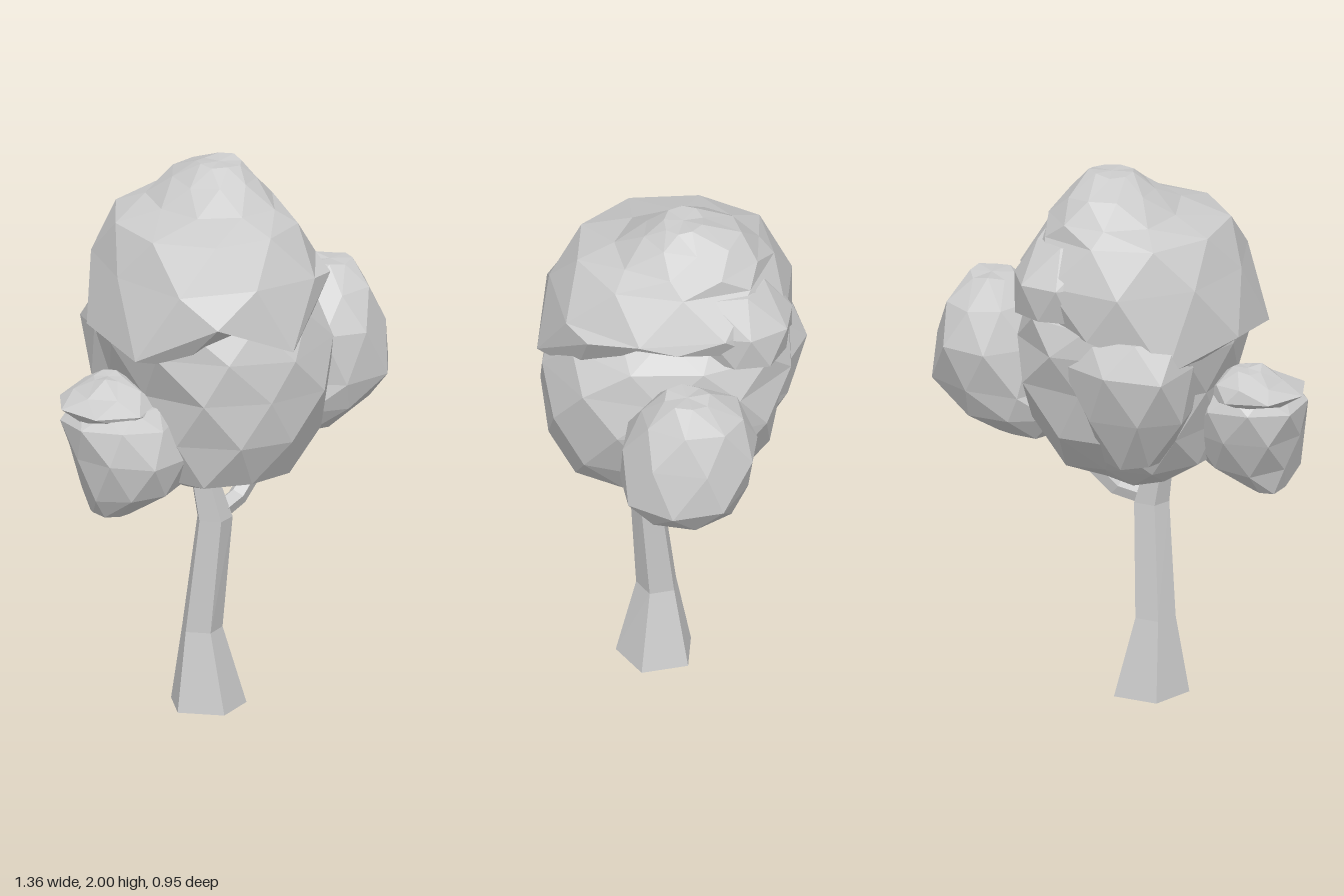
import * as THREE from 'three';

const material = new THREE.MeshStandardMaterial({ color: 0xcccccc, flatShading: true });

function seeded(seed) {
  return () => {
    seed = (seed * 16807) % 2147483647;
    return seed / 2147483647 - 0.5;
  };
}

// Closed loft through rings [y, xMin, xMax, zMin, zMax, heights], bottom to top.
// heights optionally offsets each corner of a ring; box swells the diagonals.
// Staggered rings give irregular triangular facets.
function loft(name, rings, { sides = 8, jitter = 0, stagger = true, seed = 1, turn = 0, box = 0 } = {}) {
  const rand = seeded(seed * 7919);
  const points = rings.map(([y, x0, x1, z0, z1, heights], k) => {
    const cx = (x0 + x1) / 2, cz = (z0 + z1) / 2;
    return Array.from({ length: sides }, (_, i) => {
      const a = ((i + (stagger && k % 2 ? 0.5 : 0)) / sides) * Math.PI * 2 + turn;
      const r = 1.02 + rand() * jitter + box * Math.sin(2 * a) ** 2;
      const lift = (heights ? heights[i] : 0) + rand() * jitter * 0.4;
      return new THREE.Vector3(
        cx + Math.cos(a) * r * (x1 - x0) / 2, y + lift, cz + Math.sin(a) * r * (z1 - z0) / 2);
    });
  });
  const middle = (ring) =>
    ring.reduce((sum, p) => sum.add(p), new THREE.Vector3()).divideScalar(sides);
  const tris = [];
  const bottom = points[0], top = points[points.length - 1];
  const bottomMid = middle(bottom), topMid = middle(top);
  for (let i = 0; i < sides; i++) {
    const j = (i + 1) % sides;
    tris.push(bottomMid, bottom[i], bottom[j], top[i], topMid, top[j]);
    for (let k = 0; k + 1 < points.length; k++) {
      const l = points[k], u = points[k + 1];
      if (stagger && k % 2) tris.push(l[i], u[j], l[j], u[i], u[j], l[i]);
      else tris.push(l[i], u[i], l[j], u[i], u[j], l[j]);
    }
  }
  const geometry = new THREE.BufferGeometry().setFromPoints(tris);
  geometry.computeVertexNormals();
  const mesh = new THREE.Mesh(geometry, material);
  mesh.name = name;
  return mesh;
}

export function createModel() {
  const tree = new THREE.Group();
  tree.name = 'tree';

  // Five-sided trunk, flared at the foot
  tree.add(loft('trunk', [
    [0, -0.23, 0.05, -0.08, 0.205],
    [0.29, -0.185, -0.035, -0.015, 0.135],
    [0.71, -0.145, -0.01, 0.035, 0.155],
    [0.86, -0.165, -0.06, 0.04, 0.135],
    [1.0, -0.2, -0.11, 0.04, 0.125],
  ], { sides: 5, stagger: false, turn: Math.PI / 10 }));

  // Side branch reaching into the left foliage
  const path = new THREE.CatmullRomCurve3([
    [-0.08, 0.72, 0.1], [0.02, 0.75, 0.06], [0.1, 0.83, 0.03], [0.3, 1.05, -0.01],
  ].map((p) => new THREE.Vector3(...p)));
  const branch = new THREE.Mesh(new THREE.TubeGeometry(path, 4, 0.036, 5), material);
  branch.name = 'branch';
  tree.add(branch);

  // Large lower crown
  tree.add(loft('lowerCrown', [
    [0.87, -0.24, 0.08, -0.16, 0.24],
    [0.93, -0.33, 0.2, -0.25, 0.38],
    [1.07, -0.36, 0.29, -0.36, 0.45],
    [1.25, -0.4, 0.34, -0.39, 0.46],
    [1.4, -0.45, 0.33, -0.42, 0.45],
    [1.52, -0.42, 0.3, -0.4, 0.4],
    [1.62, -0.3, 0.2, -0.25, 0.28],
  ], { sides: 10, jitter: 0.07, seed: 3, box: 0.08 }));

  // Ledge of lower crown standing out at the back right
  tree.add(loft('lowerCrownLedge', [
    [0.98, -0.27, -0.06, -0.32, -0.05],
    [1.18, -0.38, 0.02, -0.41, -0.05],
    [1.37, -0.4, 0.06, -0.47, -0.05],
    [1.48, -0.36, 0.02, -0.4, -0.1],
  ], { sides: 7, jitter: 0.06, seed: 6, box: 0.1, turn: 0.25 }));

  // Upper crown: zigzag overhanging lip, broad shoulder, dome set to the back
  const lip = [0.15, -0.05, 0.06, -0.08, -0.03, -0.1, 0, 0.06, 0.14];
  tree.add(loft('upperCrown', [
    [1.47, -0.42, 0.27, -0.36, 0.4, lip],
    [1.49, -0.49, 0.32, -0.42, 0.48, lip],
    [1.66, -0.45, 0.32, -0.42, 0.44],
    [1.81, -0.38, 0.24, -0.35, 0.35],
    [1.86, -0.23, 0.2, -0.31, 0.2],
    [1.94, -0.14, 0.14, -0.24, 0.1],
    [2.0, -0.07, 0.09, -0.11, 0.03],
  ], { sides: 9, jitter: 0.05, seed: 11, turn: 0.2, box: 0.06 }));

  // Angular corner at the back left of the upper crown
  tree.add(loft('upperCrownCorner', [
    [1.53, -0.05, 0.26, -0.41, -0.1],
    [1.66, -0.08, 0.27, -0.43, -0.05],
    [1.79, -0.1, 0.21, -0.33, 0.0],
  ], { sides: 8, seed: 2, turn: 0.1, box: 0.08 }));

  // Foliage on the left branch
  tree.add(loft('leftFoliage', [
    [0.97, 0.23, 0.43, -0.16, 0.07],
    [1.05, 0.18, 0.58, -0.25, 0.13],
    [1.16, 0.21, 0.67, -0.29, 0.16],
    [1.33, 0.24, 0.64, -0.33, 0.15],
    [1.47, 0.3, 0.6, -0.28, 0.08],
    [1.55, 0.39, 0.54, -0.16, 0.0],
  ], { sides: 8, jitter: 0.04, seed: 5, turn: 0.1, box: 0.07 }));

  // Small foliage clump on the right, with a cap that overhangs
  tree.add(loft('rightFoliage', [
    [0.82, -0.58, -0.45, 0.08, 0.23],
    [0.9, -0.61, -0.27, 0.01, 0.32],
    [1.03, -0.64, -0.24, -0.06, 0.36],
    [1.15, -0.66, -0.27, -0.08, 0.32],
    [1.21, -0.6, -0.32, -0.04, 0.25],
  ], { sides: 8, jitter: 0.05, seed: 8, box: 0.06 }));
  tree.add(loft('rightFoliageCap', [
    [1.17, -0.63, -0.32, -0.05, 0.25],
    [1.2, -0.68, -0.32, -0.09, 0.28],
    [1.25, -0.6, -0.36, -0.07, 0.2],
    [1.29, -0.53, -0.43, 0, 0.12],
  ], { sides: 7, jitter: 0.05, seed: 14 }));

  return tree;
}
